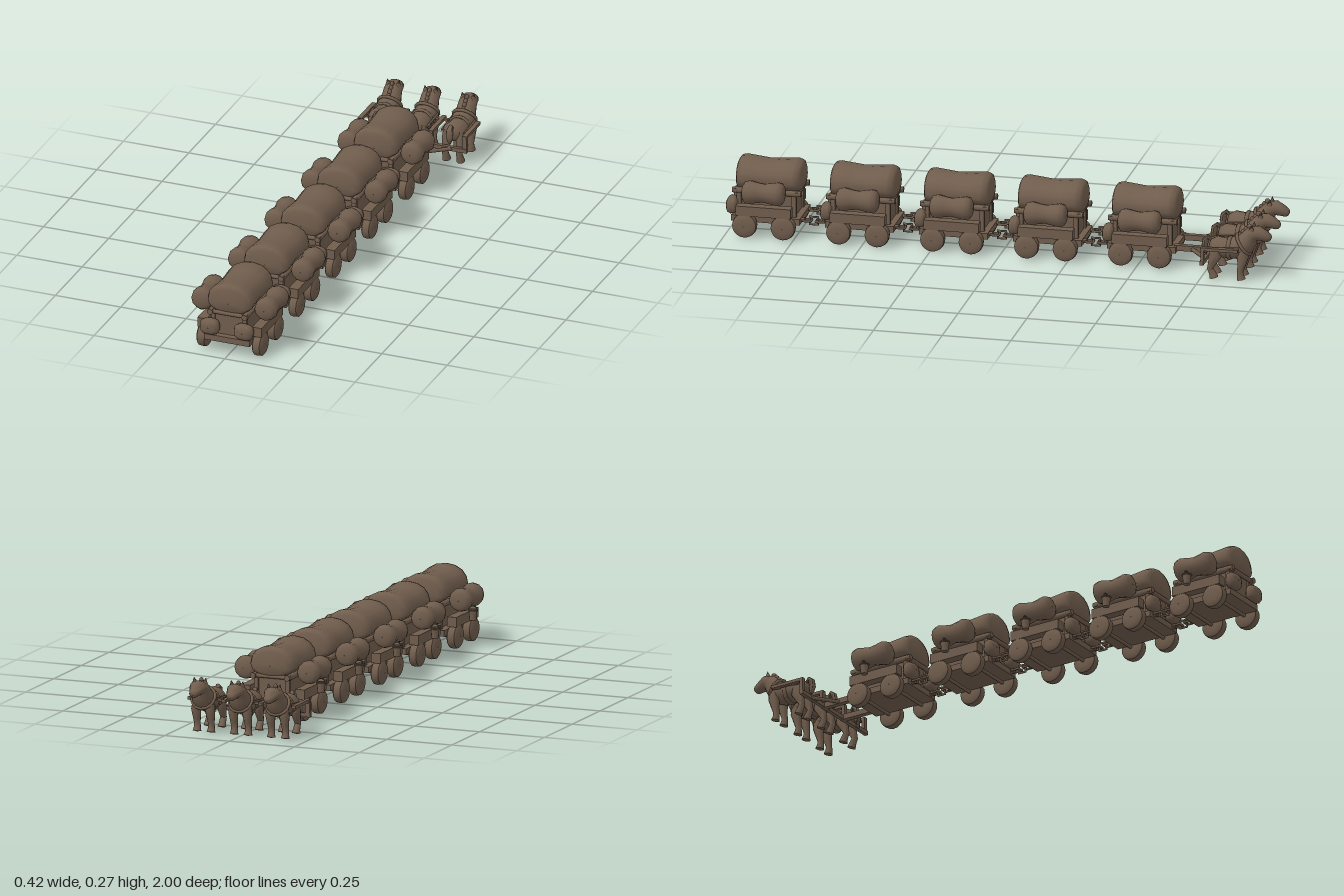
import * as THREE from 'three';
import { toCreasedNormals } from 'three/addons/utils/BufferGeometryUtils.js';

const brown = new THREE.MeshStandardMaterial({ color: 0x705d4d });
brown.name = 'brown';

function add(parent, name, geo, x = 0, y = 0, z = 0) {
  const m = new THREE.Mesh(geo, brown);
  m.name = name;
  m.position.set(x, y, z);
  parent.add(m);
  return m;
}

const box = (p, name, w, h, d, x, y, z) => add(p, name, new THREE.BoxGeometry(w, h, d), x, y, z);

// Round bar between two points
function rod(parent, name, a, b, r, sides = 8) {
  const A = new THREE.Vector3(...a), B = new THREE.Vector3(...b);
  const m = add(parent, name, new THREE.CylinderGeometry(r, r, A.distanceTo(B), sides));
  m.position.copy(A).add(B).multiplyScalar(0.5);
  m.quaternion.setFromUnitVectors(new THREE.Vector3(0, 1, 0), B.sub(A).normalize());
  return m;
}

// Skin over oval sections [y, z, halfWidth, halfHeight] along a path in the yz plane
function loft(sections, { sides = 12, power = 2, under = 1 } = {}) {
  const pos = [], idx = [], n = sections.length;
  const bend = (v) => Math.sign(v) * Math.abs(v) ** (2 / power);
  sections.forEach(([y, z, rx, ry], i) => {
    const p = sections[Math.max(0, i - 1)], q = sections[Math.min(n - 1, i + 1)];
    const l = Math.hypot(q[0] - p[0], q[1] - p[1]);
    const ty = (q[0] - p[0]) / l, tz = (q[1] - p[1]) / l;
    for (let j = 0; j < sides; j++) {
      const t = (j / sides) * Math.PI * 2;
      let h = bend(Math.sin(t)) * ry;
      if (h < 0) h *= under;
      pos.push(bend(Math.cos(t)) * rx, y + tz * h, z - ty * h);
      if (i < n - 1) {
        const k = (j + 1) % sides, a = i * sides;
        idx.push(a + j, a + k, a + sides + k, a + j, a + sides + k, a + sides + j);
      }
    }
  });
  const g = new THREE.BufferGeometry();
  g.setAttribute('position', new THREE.Float32BufferAttribute(pos, 3));
  g.setIndex(idx);
  return toCreasedNormals(g, 0.9);
}

// Puffy covered roof, slightly pinched at the middle
const canopyGeo = loft([
  [0.2, -0.124, 0.001, 0.001], [0.2, -0.121, 0.06, 0.052], [0.2, -0.114, 0.078, 0.064],
  [0.2, -0.095, 0.087, 0.069], [0.2, -0.045, 0.084, 0.064], [0.2, 0.01, 0.082, 0.061],
  [0.2, 0.055, 0.085, 0.066], [0.2, 0.09, 0.087, 0.07], [0.2, 0.106, 0.08, 0.067],
  [0.2, 0.113, 0.062, 0.055], [0.2, 0.116, 0.001, 0.001],
], { sides: 16, power: 2.1, under: 0.62 });

// Fat bundle, gently waisted, lying along z
const bundleGeo = loft([
  [0, -0.077, 0.001, 0.001], [0, -0.075, 0.026, 0.026], [0, -0.067, 0.039, 0.039], [0, -0.05, 0.043, 0.043],
  [0, -0.025, 0.038, 0.038], [0, 0, 0.034, 0.034], [0, 0.025, 0.038, 0.038], [0, 0.05, 0.043, 0.043],
  [0, 0.067, 0.039, 0.039], [0, 0.075, 0.026, 0.026], [0, 0.077, 0.001, 0.001],
]);

// Flattened sack for the tail end
const sackGeo = loft([
  [0, -0.022, 0.001, 0.001], [0, -0.02, 0.024, 0.019], [0, -0.01, 0.035, 0.029],
  [0, 0.004, 0.037, 0.031], [0, 0.014, 0.032, 0.026], [0, 0.02, 0.02, 0.015], [0, 0.021, 0.001, 0.001],
], { sides: 16, power: 2.8 });

// Fat solid wheel with gently domed faces, turned about its axle
const wheelGeo = toCreasedNormals(new THREE.LatheGeometry([
  [0.001, -0.021], [0.02, -0.02], [0.036, -0.018], [0.043, -0.013], [0.045, 0],
  [0.043, 0.013], [0.036, 0.018], [0.02, 0.02], [0.001, 0.021],
].map(([x, y]) => new THREE.Vector2(x, y)), 20).rotateZ(Math.PI / 2), 0.7);

function makeWagon() {
  const w = new THREE.Group();
  w.name = 'wagon';
  box(w, 'floor', 0.174, 0.022, 0.25, 0, 0.062, 0);
  box(w, 'cabin', 0.112, 0.095, 0.204, 0, 0.118, 0);
  add(w, 'canopy', canopyGeo);

  for (const z of [-0.07, 0.07]) {
    rod(w, 'axle', [-0.1, 0.045, z], [0.1, 0.045, z], 0.006);
    for (const s of [-1, 1]) add(w, 'wheel', wheelGeo, s * 0.106, 0.045, z);
  }
  for (const z of [-0.112, 0.112]) rod(w, 'crossRail', [-0.076, 0.161, z], [0.076, 0.161, z], 0.008);
  for (const s of [-1, 1]) {
    rod(w, 'sideRail', [s * 0.066, 0.161, -0.126], [s * 0.066, 0.161, 0.124], 0.011, 10);
    for (const z of [-0.1, 0.1]) box(w, 'cornerPost', 0.016, 0.09, 0.016, s * 0.06, 0.117, z);
    add(w, 'sideBundle', bundleGeo, s * 0.121, 0.174, -0.002);
    box(w, 'sideLedge', 0.036, 0.036, 0.2, s * 0.105, 0.101, 0);
    const sack = add(w, 'tailSack', sackGeo, s * 0.065, 0.106, 0.124);
    sack.rotation.z = s * -0.05;
  }

  // Pail hanging from the right bundle
  const pail = new THREE.Group();
  pail.name = 'pail';
  pail.position.set(-0.152, 0, -0.018);
  add(pail, 'pailBody', new THREE.CylinderGeometry(0.016, 0.012, 0.036, 10), 0, 0.115, 0);
  const rim = add(pail, 'pailRim', new THREE.TorusGeometry(0.016, 0.003, 6, 12), 0, 0.133, 0);
  rim.rotation.x = Math.PI / 2;
  add(pail, 'pailHandle', new THREE.TorusGeometry(0.015, 0.002, 6, 10, Math.PI), 0, 0.133, 0);
  w.add(pail);
  return w;
}

// Pair of chains joining two wagons
function makeCoupling() {
  const squareLink = new THREE.TorusGeometry(0.02, 0.005, 6, 4).rotateZ(Math.PI / 4);
  const c = new THREE.Group();
  c.name = 'coupling';
  for (const s of [-1, 1]) {
    for (const e of [-1, 1]) {
      rod(c, 'couplingBar', [s * 0.06, 0.064, e * 0.055], [s * 0.06, 0.064, e * 0.032], 0.008);
      const link = add(c, 'flatLink', squareLink, s * 0.06, 0.064, e * 0.023);
      link.rotation.x = Math.PI / 2;
      link.scale.x = 0.8;
    }
    const middle = add(c, 'uprightLink', squareLink, s * 0.06, 0.064, 0);
    middle.rotation.y = Math.PI / 2;
  }
  return c;
}

// Horse from rump to muzzle in one skin
const horseGeo = loft([
  [0.115, -0.773, 0.001, 0.001], [0.115, -0.778, 0.024, 0.02], [0.112, -0.797, 0.042, 0.036],
  [0.107, -0.835, 0.041, 0.036], [0.11, -0.872, 0.043, 0.041], [0.123, -0.9, 0.042, 0.042],
  [0.146, -0.917, 0.036, 0.034], [0.166, -0.931, 0.034, 0.029], [0.171, -0.95, 0.032, 0.026],
  [0.163, -0.972, 0.023, 0.021], [0.155, -0.99, 0.017, 0.016], [0.152, -0.997, 0.011, 0.01],
  [0.151, -0.999, 0.001, 0.001],
]);
const hindLegGeo = loft([
  [0.12, -0.802, 0.012, 0.02], [0.085, -0.802, 0.018, 0.024], [0.055, -0.79, 0.014, 0.015],
  [0.035, -0.783, 0.012, 0.011], [0.014, -0.793, 0.013, 0.013], [0.002, -0.797, 0.016, 0.016], [0, -0.797, 0.001, 0.001],
], { sides: 10 });
const foreLegGeo = loft([
  [0.12, -0.902, 0.012, 0.018], [0.085, -0.902, 0.018, 0.021], [0.05, -0.896, 0.014, 0.014],
  [0.03, -0.892, 0.012, 0.011], [0.014, -0.893, 0.013, 0.013], [0.002, -0.896, 0.016, 0.016], [0, -0.896, 0.001, 0.001],
], { sides: 10 });
const tailGeo = loft([
  [0.13, -0.782, 0.006, 0.006], [0.143, -0.77, 0.009, 0.008], [0.132, -0.76, 0.013, 0.011],
  [0.11, -0.757, 0.014, 0.012], [0.09, -0.76, 0.008, 0.008], [0.076, -0.763, 0.001, 0.001],
], { sides: 8 });

function makeHorse() {
  const h = new THREE.Group();
  h.name = 'horse';
  add(h, 'horseBody', horseGeo);
  add(h, 'tail', tailGeo);
  for (const s of [-1, 1]) {
    add(h, 'hindLeg', hindLegGeo, s * 0.027);
    add(h, 'foreLeg', foreLegGeo, s * 0.027);
    const ear = add(h, 'ear', new THREE.ConeGeometry(0.011, 0.022, 6), s * 0.021, 0.194, -0.932);
    ear.rotation.z = s * -0.2;
    rod(h, 'trace', [s * 0.044, 0.122, -0.89], [s * 0.043, 0.114, -0.79], 0.004, 6);
  }
  for (let i = 0; i < 4; i++) {
    const tuft = add(h, 'mane', new THREE.SphereGeometry(0.011, 8, 6), 0, 0.159 + i * 0.011, -0.887 - i * 0.011);
    tuft.scale.x = 0.7;
  }
  const collar = add(h, 'collar', new THREE.TorusGeometry(0.043, 0.006, 8, 16), 0, 0.126, -0.9);
  collar.rotation.x = 0.6;
  const girth = add(h, 'girth', new THREE.TorusGeometry(0.039, 0.005, 6, 16), 0, 0.108, -0.85);
  girth.scale.z = 1.6;
  return h;
}

// Frame that hitches the team to the first wagon
function makeHitch() {
  const h = new THREE.Group();
  h.name = 'hitch';
  box(h, 'rearCrossbar', 0.42, 0.015, 0.014, 0, 0.064, -0.76);
  box(h, 'frontCrossbar', 0.41, 0.009, 0.012, 0, 0.116, -0.87);
  for (const s of [-1, 1]) {
    box(h, 'drawShaft', 0.02, 0.02, 0.14, s * 0.06, 0.066, -0.698);
    rod(h, 'brace', [s * 0.06, 0.064, -0.69], [s * 0.15, 0.064, -0.758], 0.007);
    for (const x of [0.07, 0.2]) {
      box(h, 'sidePost', 0.018, 0.062, 0.012, s * x, 0.089, -0.762);
      box(h, 'sideBar', 0.016, 0.011, 0.135, s * x, 0.116, -0.823);
    }
  }
  return h;
}

export function createModel() {
  const model = new THREE.Group();
  model.name = 'wagonTrain';
  const spacing = 0.342;
  for (let i = 0; i < 5; i++) {
    const w = makeWagon();
    w.position.z = -0.513 + i * spacing;
    model.add(w);
    if (i < 4) {
      const c = makeCoupling();
      c.position.z = w.position.z + spacing / 2;
      model.add(c);
    }
  }
  for (const x of [-0.143, 0, 0.143]) {
    const h = makeHorse();
    h.position.x = x;
    model.add(h);
  }
  model.add(makeHitch());
  return model;
}
